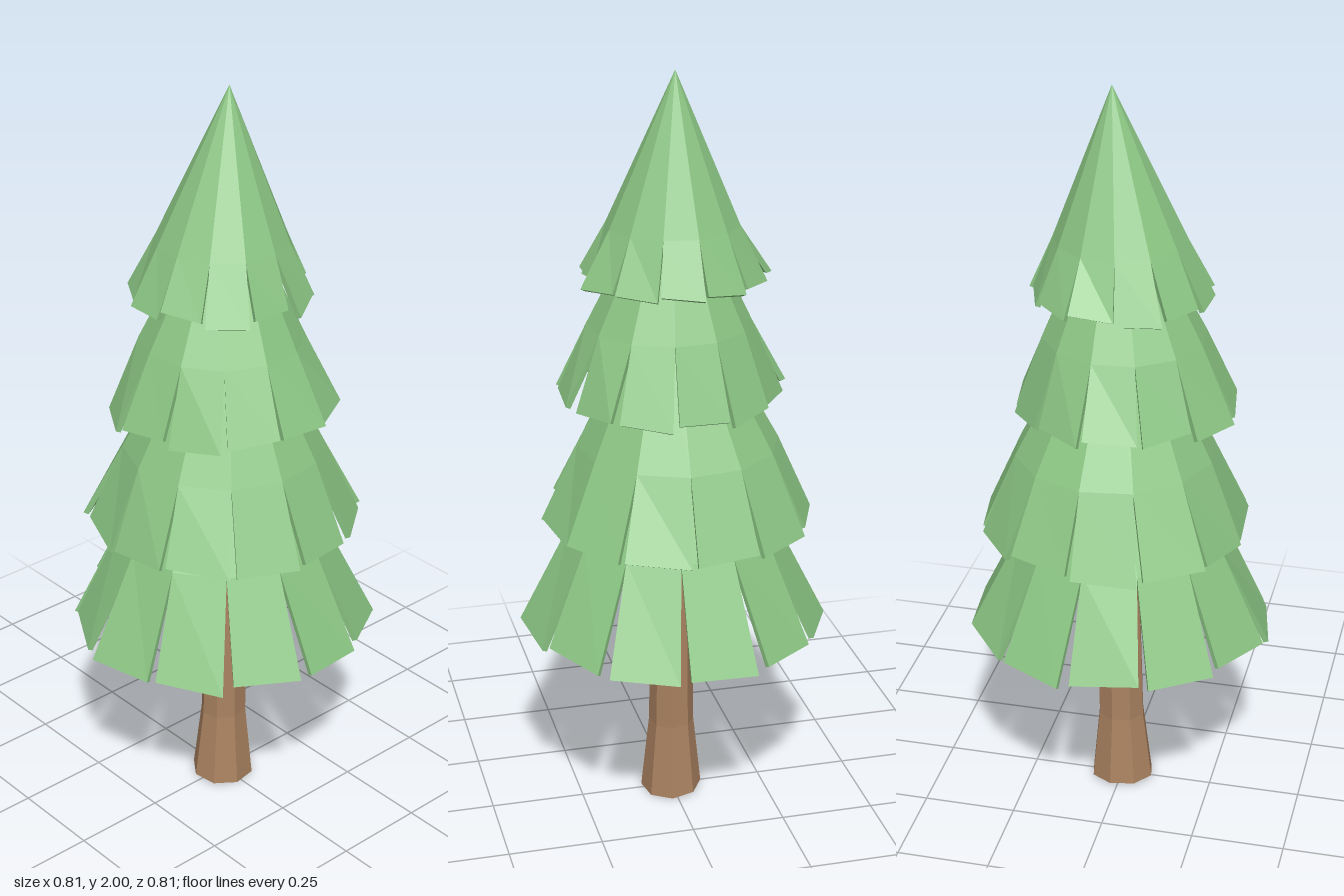
import * as THREE from 'three';

const SIDES = 12;
const green = new THREE.MeshStandardMaterial({ color: 0x8cc684, flatShading: true });
const brown = new THREE.MeshStandardMaterial({ color: 0xaa8260, flatShading: true });

// small seeded generator, returns -1..1
let seed = 7;
const jitter = () => {
  seed = (seed * 16807) % 2147483647;
  return (seed / 2147483647) * 2 - 1;
};

const quad = (out, a, b, c, d) => out.push(...a, ...b, ...c, ...a, ...c, ...d);

function flatMesh(name, positions, material) {
  const geometry = new THREE.BufferGeometry();
  geometry.setAttribute('position', new THREE.Float32BufferAttribute(positions, 3));
  geometry.computeVertexNormals();
  const mesh = new THREE.Mesh(geometry, material);
  mesh.name = name;
  return mesh;
}

// One thick bough: rows run from top to tip, each { y, r, x, z }
function bough(rows, angle, fill) {
  const half = Math.tan(Math.PI / SIDES);
  const last = rows.length - 1;
  const tipTilt = jitter() * 0.008, tipDrop = jitter() * 0.012;
  const tipTurn = jitter() * 0.01, tipOut = jitter() * 0.008;

  const corner = (i, side, inset) => {
    const { y, r, x, z } = rows[i];
    const tip = i === last ? 1 : 0;
    const reach = Math.max(0, r - inset) + tip * (tipOut + side * tipTurn);
    const across = side * Math.max(0, r - inset) * half * (tip ? fill : 1);
    return [
      x + Math.cos(angle) * reach - Math.sin(angle) * across,
      y - inset * 0.5 + tip * (tipDrop + side * tipTilt),
      z + Math.sin(angle) * reach + Math.cos(angle) * across,
    ];
  };

  const out = [];
  const T = 0.013;
  for (let i = 0; i < last; i++) {
    const [a, b, c, d] = [corner(i, 1, 0), corner(i + 1, 1, 0), corner(i + 1, -1, 0), corner(i, -1, 0)];
    const [e, f, g, h] = [corner(i, 1, T), corner(i + 1, 1, T), corner(i + 1, -1, T), corner(i, -1, T)];
    quad(out, a, b, c, d);
    quad(out, h, g, f, e);
    // cut edges only below the notch, and at the tip
    if (i === last - 1) {
      quad(out, a, e, f, b);
      quad(out, d, c, g, h);
      quad(out, b, f, g, c);
    }
  }
  return flatMesh('bough', out, green);
}

function tier(name, startDegrees, fill, rows) {
  const group = new THREE.Group();
  group.name = name;
  for (let i = 0; i < SIDES; i++) {
    const angle = THREE.MathUtils.degToRad(startDegrees + (i * 360) / SIDES);
    group.add(bough(rows, angle, fill));
  }
  return group;
}

const row = (y, r, x, z) => ({ y, r, x, z });

// Eight-sided trunk with a flared, slightly shifted foot
function trunk() {
  const rings = [row(0, 0.088, 0, 0), row(0.21, 0.065, 0.003, 0), row(0.5, 0.061, 0.008, 0), row(0.95, 0.045, 0.008, 0)];
  const n = 8, out = [];
  const point = ({ y, r, x, z }, i) => {
    const a = ((i + 0.25) / n) * Math.PI * 2;
    const tilt = y === 0 ? 0.006 + 0.006 * Math.cos(a + 2) : 0;
    return [x + r * Math.cos(a), y + tilt, z + r * 0.93 * Math.sin(a)];
  };
  for (let i = 0; i < n; i++) {
    for (let k = 0; k < rings.length - 1; k++) {
      quad(out, point(rings[k + 1], i + 1), point(rings[k], i + 1), point(rings[k], i), point(rings[k + 1], i));
    }
    out.push(0, 0.006, 0, ...point(rings[0], i), ...point(rings[0], i + 1));
  }
  return flatMesh('trunk', out, brown);
}

export function createModel() {
  seed = 7;
  const tree = new THREE.Group();
  tree.name = 'pineTree';
  tree.add(
    trunk(),
    tier('bottomTier', -96, 0.86, [row(1.12, 0.07, 0.01, 0), row(0.79, 0.265, 0, -0.003), row(0.525, 0.393, 0, -0.003)]),
    tier('lowerMiddleTier', -98, 0.9, [row(1.42, 0.06, 0.01, 0), row(1.03, 0.255, 0.015, -0.015), row(0.825, 0.348, 0.015, -0.015)]),
    tier('upperMiddleTier', -95, 0.9, [row(1.7, 0.04, 0.01, 0), row(1.35, 0.205, -0.005, 0.003), row(1.165, 0.282, -0.008, 0.003)]),
    tier('topTier', -83, 0.9, [row(2, 0, 0.025, -0.005), row(1.61, 0.165, 0.003, -0.005), row(1.475, 0.228, -0.004, -0.005)]),
  );
  return tree;
}
